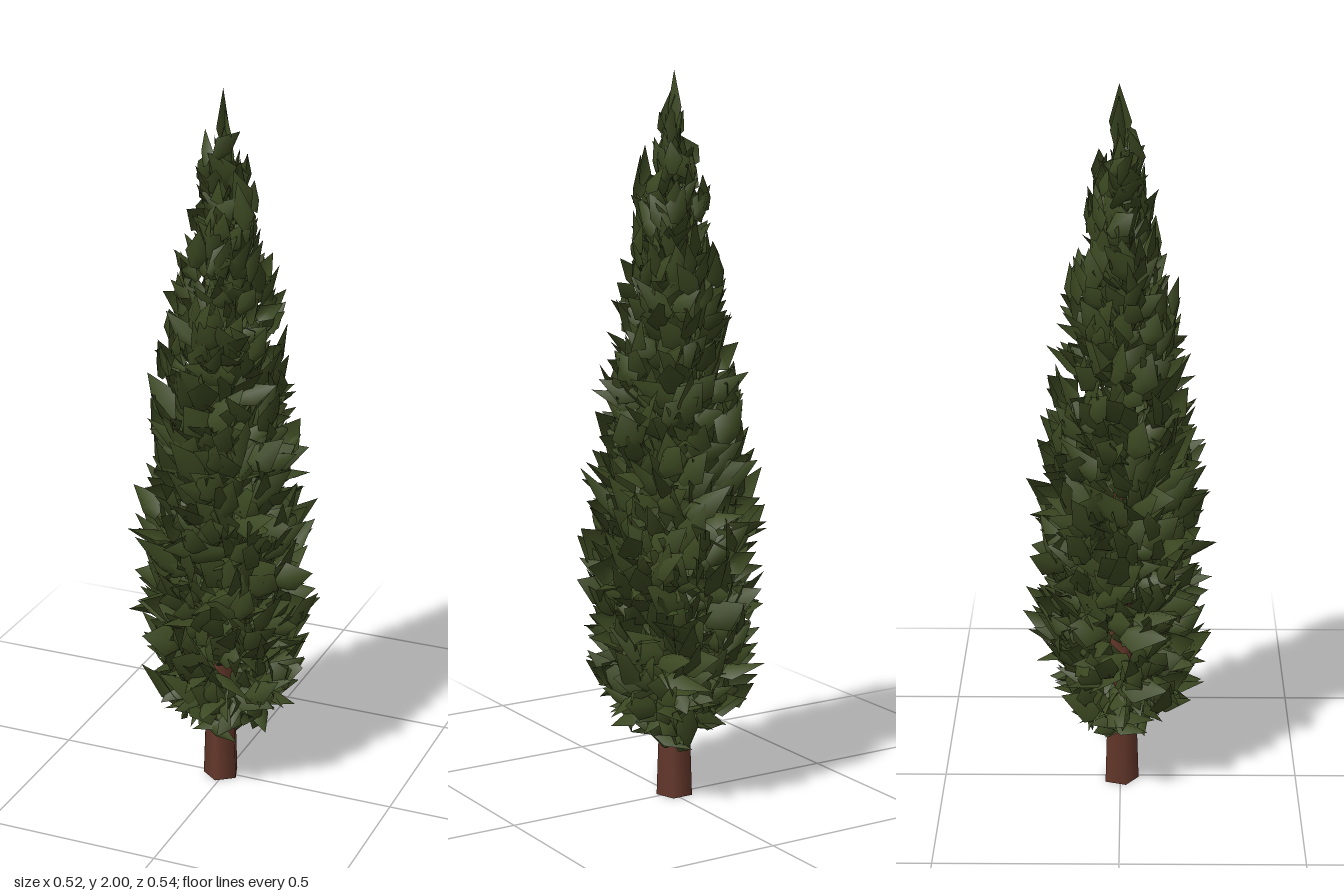
import * as THREE from 'three';
import { mergeGeometries } from 'three/addons/utils/BufferGeometryUtils.js';

// small seeded generator
let seed = 7;
function rand(a = 0, b = 1) {
  seed = (seed * 16807) % 2147483647;
  return a + (b - a) * (seed / 2147483647);
}

// crown outline: [height, radius reached by the leaf tips]
const outline = [
  [0.15, 0.09], [0.2, 0.15], [0.3, 0.215], [0.45, 0.25], [0.65, 0.25], [0.85, 0.24],
  [1.05, 0.215], [1.25, 0.185], [1.45, 0.15], [1.6, 0.112], [1.75, 0.085], [1.87, 0.05], [2.0, 0.0],
];
function crownRadius(y) {
  for (let i = 1; i < outline.length; i++) {
    const [y0, r0] = outline[i - 1], [y1, r1] = outline[i];
    if (y <= y1) return THREE.MathUtils.lerp(r0, r1, Math.max(0, (y - y0) / (y1 - y0)));
  }
  return 0;
}

// pointed blade along +y, folded along its midrib towards +z
function blade(length, width, fold) {
  const w = width / 2, m = length * rand(0.3, 0.45);
  const g = new THREE.BufferGeometry();
  g.setAttribute('position', new THREE.Float32BufferAttribute([
    -w * 0.35, 0, 0, w * 0.35, 0, 0,
    -w, m * rand(0.8, 1.2), -fold, 0, m, fold, w, m * rand(0.8, 1.2), -fold,
    rand(-0.3, 0.3) * w, length, -fold * 0.5,
  ], 3));
  g.setIndex([0, 1, 3, 0, 3, 2, 1, 4, 3, 2, 3, 5, 3, 4, 5]);
  g.computeVertexNormals();
  return g;
}

// place a blade with its tip at the given point, pointing along dir
function placeBlade(tip, dir, facing, length, width) {
  const y = dir.clone().normalize();
  const x = new THREE.Vector3().crossVectors(y, facing).normalize();
  const z = new THREE.Vector3().crossVectors(x, y);
  const m = new THREE.Matrix4().makeBasis(x, y, z);
  m.setPosition(tip.clone().addScaledVector(y, -length));
  return blade(length, width, width * 0.2).applyMatrix4(m);
}

function outward(a) {
  return new THREE.Vector3(Math.cos(a), 0, Math.sin(a));
}

function crownGeometry() {
  const parts = [];
  let turn = 0;
  for (let y = 0.17; y < 1.88; ) {
    const r = crownRadius(y);
    turn += 2.39996;
    const out = outward(turn + rand(-0.25, 0.25));
    const side = new THREE.Vector3(-out.z, 0, out.x);
    // low blades droop, upper blades climb
    const rise = y < 0.4 ? THREE.MathUtils.mapLinear(y, 0.17, 0.4, -0.6, 0.5)
      : THREE.MathUtils.mapLinear(y, 0.4, 1.9, 0.5, 1.25);
    // each tuft holds three spreading blades
    for (let k = -1; k <= 1; k++) {
      const e = rise + rand(-0.45, 0.45);
      const dir = out.clone().multiplyScalar(Math.cos(e))
        .addScaledVector(side, k * 0.5 + rand(-0.3, 0.3));
      dir.y = Math.sin(e);
      const facing = out.clone().addScaledVector(side, rand(-0.8, 0.8));
      facing.y = rand(0.1, 0.8);
      const reach = r * rand(0.78, 1.1);
      const spread = k * rand(0.1, 0.25);
      const tip = out.clone().multiplyScalar(reach * Math.cos(spread))
        .addScaledVector(side, reach * Math.sin(spread));
      tip.y = y + rand(-0.03, 0.05);
      const s = THREE.MathUtils.clamp(r / 0.2, 0.75, 1);
      parts.push(placeBlade(tip, dir, facing, s * rand(0.11, 0.18), s * rand(0.06, 0.1)));
    }
    y += 0.00125 / Math.max(r, 0.05);
  }
  // steep inner blades wrapping the trunk
  for (let i = 0; i < 190; i++) {
    const y = 0.26 + 1.58 * (i / 190);
    const out = outward(i * 2.39996);
    const tip = out.clone().multiplyScalar(crownRadius(y) * rand(0.35, 0.7)).setY(y);
    const dir = out.clone().multiplyScalar(rand(0.3, 0.6)).setY(1);
    dir.x += rand(-0.3, 0.3);
    dir.z += rand(-0.3, 0.3);
    parts.push(placeBlade(tip, dir, out, rand(0.1, 0.16), rand(0.06, 0.09)));
  }
  // upright blades closing the top
  for (let i = 0; i < 7; i++) {
    const out = outward(i * 2.4);
    const tip = out.clone().multiplyScalar(0.009 * i).setY(2 - 0.032 * i);
    const dir = out.clone().multiplyScalar(0.05 * i).setY(1);
    parts.push(placeBlade(tip, dir, out, 0.17, 0.06));
  }
  return mergeGeometries(parts);
}

export function createModel() {
  seed = 7;
  const leafGreen = new THREE.MeshStandardMaterial({ color: 0x3b4821, side: THREE.DoubleSide });
  leafGreen.name = 'leafGreen';
  const barkBrown = new THREE.MeshStandardMaterial({ color: 0x65382b });
  barkBrown.name = 'barkBrown';

  const tree = new THREE.Group();
  tree.name = 'cypressTree';

  // trunk tapering up into the crown
  const trunkGeo = new THREE.CylinderGeometry(0.012, 0.052, 1.2, 5);
  trunkGeo.translate(0, 0.6, 0);
  const trunk = new THREE.Mesh(trunkGeo, barkBrown);
  trunk.name = 'trunk';
  trunk.position.x = -0.01;

  const crown = new THREE.Mesh(crownGeometry(), leafGreen);
  crown.name = 'crown';
  tree.add(trunk, crown);
  return tree;
}
